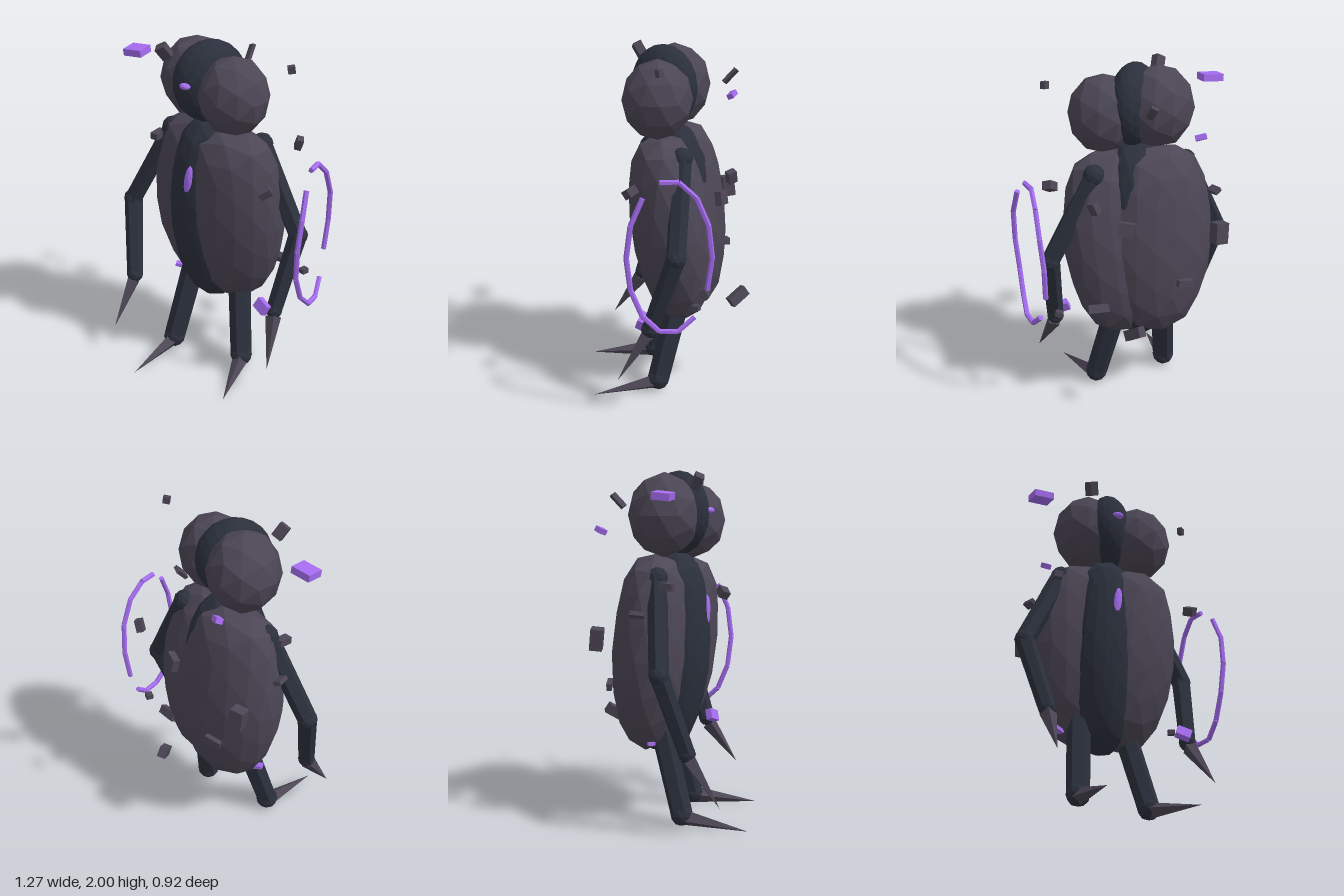
import * as THREE from 'three';

const mat = (color) => new THREE.MeshStandardMaterial({ color, flatShading: true });
const V = (x, y, z) => new THREE.Vector3(x, y, z);

export function createModel() {
  const model = new THREE.Group();
  const shell = mat(0x4c4655), dark = mat(0x2b303c), glow = mat(0xa56cf0);
  const MID = -0.045; // the limbs mirror about this x

  const add = (name, geometry, material, pos, parent = model) => {
    const mesh = new THREE.Mesh(geometry, material);
    mesh.name = name;
    mesh.position.copy(pos);
    parent.add(mesh);
    return mesh;
  };

  // Faceted ellipsoid; "square" swells the ends into a barrel, less so at the bottom
  const blob = (name, material, pos, r, { square = 0, tilt = [0, 0, 0], detail = 2 } = {}) => {
    const g = new THREE.IcosahedronGeometry(1, detail);
    const p = g.attributes.position;
    for (let i = 0; i < p.count; i++) {
      const y = p.getY(i), k = 1 + square * (y > 0 ? 1 : 0.5) * y ** 4;
      p.setXYZ(i, p.getX(i) * k * r[0], y * r[1], p.getZ(i) * k * r[2]);
    }
    g.computeVertexNormals();
    add(name, g, material, pos).rotation.set(...tilt);
  };

  // Straight bar or spike between two points
  const strut = (name, a, b, r0, r1, sides, material, parent) => {
    const d = b.clone().sub(a);
    const g = new THREE.CylinderGeometry(r1, r0, d.length(), sides);
    const mesh = add(name, g, material, a.clone().add(b).multiplyScalar(0.5), parent);
    mesh.quaternion.setFromUnitVectors(V(0, 1, 0), d.normalize());
  };

  // Split body and head: two shells, tilted apart around a dark core
  blob('bodyShellLeft', shell, V(0.085, 0.965, -0.015), [0.315, 0.56, 0.235], { square: 0.5, tilt: [0.13, 0, -0.05] });
  blob('bodyShellRight', shell, V(-0.13, 0.975, -0.12), [0.335, 0.57, 0.228], { square: 0.5, tilt: [0.06, 0, 0.04] });
  blob('bodyCore', dark, V(-0.045, 0.965, -0.045), [0.225, 0.595, 0.268], { square: 0.4, tilt: [0.06, -0.75, 0], detail: 3 });
  blob('headShellLeft', shell, V(0.122, 1.72, 0.068), [0.202, 0.226, 0.198], { detail: 1 });
  blob('headShellRight', shell, V(-0.158, 1.755, -0.045), [0.208, 0.237, 0.208], { detail: 1 });
  blob('headCore', dark, V(-0.045, 1.765, 0.02), [0.135, 0.236, 0.215], { tilt: [0, -0.75, 0], detail: 3 });

  // Glowing eye and chest slit
  blob('eye', glow, V(-0.105, 1.78, 0.2), [0.036, 0.019, 0.028], { tilt: [0, -0.4, 0], detail: 1 });
  blob('chestSlit', glow, V(-0.1, 1.2, 0.178), [0.03, 0.11, 0.03], { tilt: [0, -0.4, -0.14], detail: 1 });

  // Arms and legs with ball joints and spiked ends
  for (const s of [1, -1]) {
    const side = s > 0 ? 'left' : 'right';
    const P = (x, y, z) => V(MID + s * x, y, z);
    const joint = (name, pos, r, parent) =>
      add(name, new THREE.IcosahedronGeometry(r, 1), dark, pos, parent);

    const arm = new THREE.Group();
    arm.name = side + 'Arm';
    model.add(arm);
    const shoulder = P(0.285, 1.415, -0.06), elbow = P(0.54, 0.92, -0.01), wrist = P(0.465, 0.48, 0.13);
    joint('shoulder', shoulder, 0.063, arm);
    strut('upperArm', shoulder, elbow, 0.058, 0.056, 6, dark, arm);
    joint('elbow', elbow, 0.058, arm);
    strut('forearm', elbow, wrist, 0.055, 0.048, 6, dark, arm);
    joint('wrist', wrist, 0.05, arm);
    strut('claw', P(0.468, 0.445, 0.145), P(0.508, 0.195, 0.315), 0.046, 0, 4, shell, arm);

    const leg = new THREE.Group();
    leg.name = side + 'Leg';
    model.add(leg);
    const hip = P(0.15, 0.56, -0.06), ankle = P(0.23, 0.066, 0.07);
    joint('hip', hip, 0.068, leg);
    strut('shin', hip, ankle, 0.068, 0.064, 6, dark, leg);
    joint('ankle', ankle, 0.066, leg);
    strut('footSpike', P(0.235, 0.05, 0.09), P(0.297, 0.004, 0.45), 0.048, 0, 4, shell, leg);
  }

  // Broken energy ring beside the left arm, in two arcs
  const ringPoint = (deg) => {
    const a = THREE.MathUtils.degToRad(deg);
    return V(0.604 + 0.012 * Math.sin(3 * a), 0.965 + 0.425 * Math.sin(a), 0.033 + 0.228 * Math.cos(a));
  };
  for (const [from, to, steps] of [[77, 206, 5], [-127, 52, 7]]) {
    const arc = new THREE.Group();
    arc.name = 'ringArc';
    model.add(arc);
    const at = (i) => ringPoint(from + ((to - from) * i) / steps);
    for (let i = 0; i < steps; i++) strut('ringSegment', at(i), at(i + 1), 0.015, 0.015, 6, glow, arc);
  }

  // Floating shards: position, size, tilt
  const shards = [
    [[-0.38, 1.08, -0.39], [0.08, 0.12, 0.07], [0.1, 0.1, 0.1]],
    [[-0.185, 0.79, -0.36], [0.1, 0.04, 0.03], [0, 0.1, 0.2]],
    [[0.025, 1.83, -0.345], [0.04, 0.1, 0.02], [-0.75, -0.6, 0]],
    [[0.15, 0.56, -0.395], [0.05, 0.06, 0.12], [0.6, 0.4, 0]],
    [[0.15, 1.16, -0.29], [0.09, 0.08, 0.04], [0.2, -0.5, 0.2]],
    [[0.355, 1.34, -0.32], [0.04, 0.07, 0.05], [0.3, 0.4, -0.4]],
    [[0.28, 0.65, -0.19], [0.12, 0.05, 0.04], [0.5, -0.2, 0.1]],
    [[0.495, 0.635, -0.12], [0.04, 0.03, 0.04], [0.1, -0.5, 0.1]],
    [[0.46, 1.925, 0.075], [0.04, 0.04, 0.03], [0.1, 0.5, 0.1]],
    [[0.39, 1.27, 0.23], [0.07, 0.05, 0.06], [0.4, 0.6, 0.3]],
    [[-0.258, 1.94, 0.15], [0.06, 0.08, 0.05], [0.4, 0.3, 0.4]],
    [[-0.395, 1.375, 0], [0.05, 0.04, 0.08], [0.1, -0.2, 0]],
    [[-0.482, 1.23, -0.145], [0.045, 0.025, 0.08], [0.1, 0.1, -0.5]],
  ];
  const glowShards = [
    [[-0.517, 1.865, 0.003], [0.12, 0.04, 0.1], [0.1, -0.1, 0.08]],
    [[-0.245, 1.67, -0.39], [0.06, 0.03, 0.04], [0.5, -0.6, 0]],
    [[0.362, 0.51, 0.17], [0.085, 0.065, 0.04], [-0.4, -0.3, -0.5]],
    [[-0.31, 0.48, -0.1], [0.07, 0.02, 0.04], [0, 0.3, -0.2]],
  ];
  for (const [list, material, name] of [[shards, shell, 'shard'], [glowShards, glow, 'glowShard']])
    for (const [pos, size, tilt] of list)
      add(name, new THREE.BoxGeometry(...size), material, V(...pos)).rotation.set(...tilt);

  return model;
}
